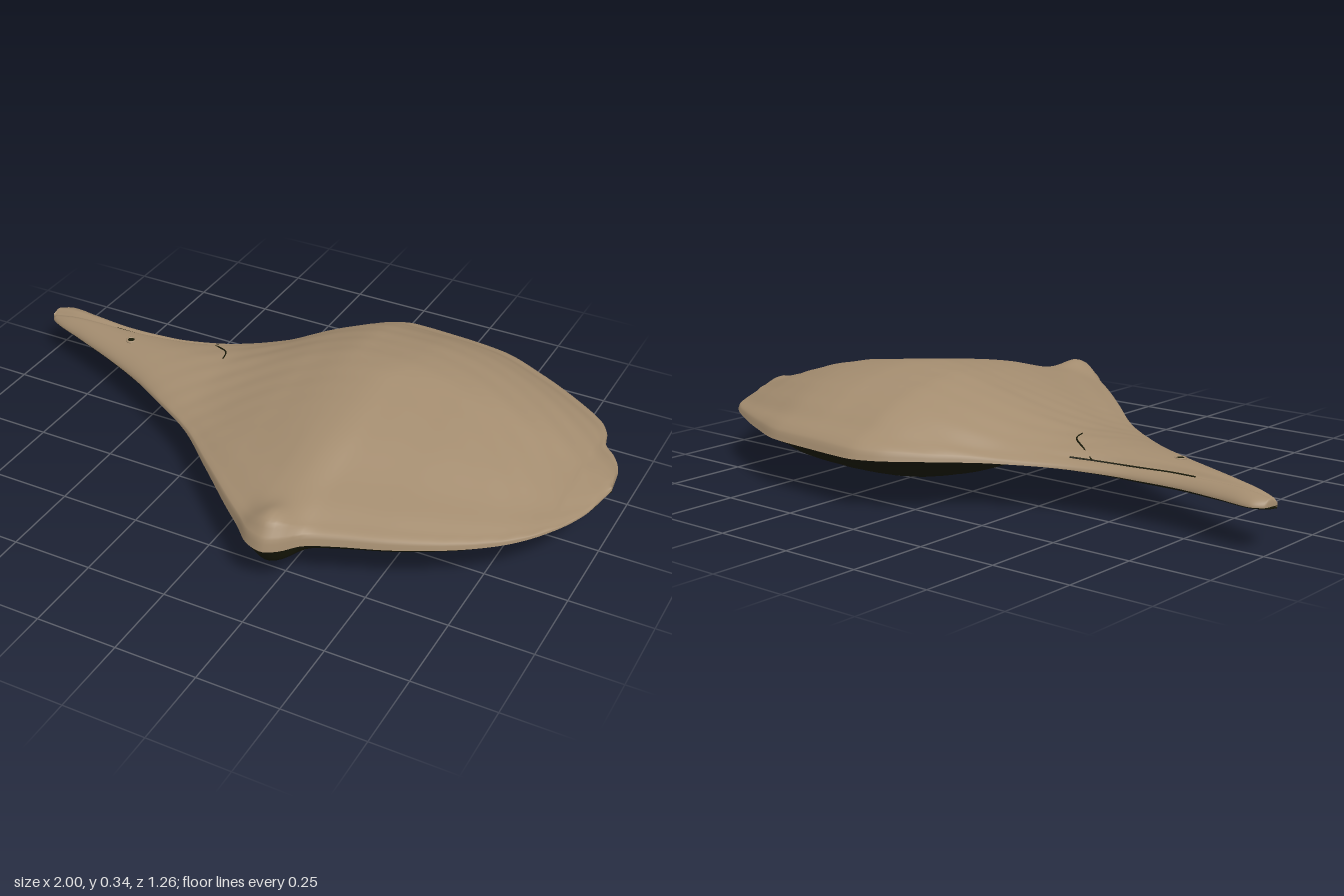
import * as THREE from 'three';

// Smooth interpolation through [x, value] pairs without overshoot
function curve(pts) {
  const n = pts.length;
  const s = [];
  for (let i = 0; i < n - 1; i++) s.push((pts[i + 1][1] - pts[i][1]) / (pts[i + 1][0] - pts[i][0]));
  const m = pts.map((_, i) => {
    if (i === 0) return s[0];
    if (i === n - 1) return s[n - 2];
    return s[i - 1] * s[i] > 0 ? 2 * s[i - 1] * s[i] / (s[i - 1] + s[i]) : 0;
  });
  return (x) => {
    let i = 0;
    while (i < n - 2 && x > pts[i + 1][0]) i++;
    const h = pts[i + 1][0] - pts[i][0];
    const t = THREE.MathUtils.clamp((x - pts[i][0]) / h, 0, 1);
    const t2 = t * t, t3 = t2 * t;
    return pts[i][1] * (2 * t3 - 3 * t2 + 1) + pts[i + 1][1] * (3 * t2 - 2 * t3)
      + h * (m[i] * (t3 - 2 * t2 + t) + m[i + 1] * (t3 - t2));
  };
}

// Outline of the shell seen from above
const backEdge = curve([[-1, -0.19], [-0.99, -0.235], [-0.95, -0.255], [-0.85, -0.24], [-0.7, -0.225],
  [-0.55, -0.235], [-0.4, -0.275], [-0.2, -0.39], [-0.05, -0.53], [0.06, -0.61], [0.14, -0.635],
  [0.3, -0.625], [0.45, -0.61], [0.6, -0.55], [0.75, -0.47], [0.85, -0.4], [0.89, -0.34],
  [0.905, -0.285], [0.95, -0.23], [0.985, -0.16], [1, -0.06]]);
const frontEdge = curve([[-1, -0.19], [-0.98, -0.165], [-0.85, -0.11], [-0.7, -0.05], [-0.55, 0.02],
  [-0.4, 0.11], [-0.25, 0.21], [-0.1, 0.35], [0.05, 0.49], [0.13, 0.56], [0.19, 0.615], [0.24, 0.63],
  [0.28, 0.61], [0.33, 0.555], [0.4, 0.52], [0.55, 0.46], [0.7, 0.38], [0.82, 0.29], [0.91, 0.19],
  [0.97, 0.08], [1, -0.06]]);

// Seam, crown and keel heights along the length
const seam = curve([[-1, 0.128], [-0.6, 0.13], [-0.25, 0.145], [0, 0.157], [0.8, 0.158], [1, 0.175]]);
const crown = curve([[-1, 0.15], [-0.9, 0.165], [-0.6, 0.183], [-0.3, 0.202], [-0.2, 0.225], [0, 0.295],
  [0.15, 0.335], [0.27, 0.343], [0.5, 0.32], [0.7, 0.275], [0.85, 0.225], [0.95, 0.2], [1, 0.19]]);
const keel = curve([[-1, 0.12], [-0.6, 0.11], [-0.25, 0.132], [-0.1, 0.09], [0.05, 0.04], [0.27, 0.003],
  [0.5, 0.025], [0.75, 0.08], [0.9, 0.14], [1, 0.168]]);

// Cross-section bulge from the front edge (0) to the back edge (1)
const upperBulge = curve([[0, 0], [0.008, 0.16], [0.05, 0.25], [0.1, 0.35], [0.18, 0.46], [0.34, 0.74],
  [0.5, 0.92], [0.6, 1], [0.73, 0.9], [0.85, 0.66], [0.93, 0.37], [0.99, 0.16], [1, 0]]);
const lowerBulge = curve([[0, 0], [0.03, 0.2], [0.1, 0.36], [0.22, 0.52], [0.34, 0.8], [0.5, 0.98],
  [0.58, 1], [0.73, 0.87], [0.89, 0.48], [0.94, 0.22], [1, 0]]);
const grooveLine = curve([[-1, -0.19], [-0.7, -0.182], [-0.5, -0.205], [-0.25, -0.29]]);

function surfaceY(x, u, side) {
  const zf = frontEdge(x), z = zf + (backEdge(x) - zf) * u;
  const tail = 1 - THREE.MathUtils.smoothstep(x, -0.6, -0.15);
  const round = Math.sqrt(Math.max(0, Math.sin(Math.PI * u)));
  const bulge = THREE.MathUtils.lerp((side > 0 ? upperBulge : lowerBulge)(u), round, tail);
  const mask = Math.min(1, u / 0.03, (1 - u) / 0.03);
  let y = seam(x) + bulge * ((side > 0 ? crown : keel)(x) - seam(x));
  // Pointed beak
  y += side * (side > 0 ? 0.04 : 0.028) * mask * Math.exp(-((x - 0.24) ** 2 + (z - 0.57) ** 2) / 0.0042);
  // Concentric growth lines around the beak
  const r = Math.hypot(x - 0.24, z - 0.6);
  y += side * 0.0012 * Math.sin(r * 75) * mask * (1 - tail) * THREE.MathUtils.smoothstep(r, 0.3, 0.9);
  // Groove along the spout
  if (side > 0) y -= 0.012 * tail * mask * Math.exp(-(((z - grooveLine(x)) / 0.013) ** 2));
  return y;
}

// One half of the shell as a grid of cross-sections
function valve(side) {
  const nx = 200, nu = 72, pos = [], idx = [];
  for (let i = 0; i <= nx; i++) {
    const x = -Math.cos(Math.PI * i / nx);
    for (let j = 0; j <= nu; j++) {
      const u = (1 - Math.cos(Math.PI * j / nu)) / 2;
      pos.push(x, surfaceY(x, u, side), frontEdge(x) + (backEdge(x) - frontEdge(x)) * u);
      if (i < nx && j < nu) {
        const a = i * (nu + 1) + j, b = a + nu + 1;
        if (side > 0) idx.push(a, b, b + 1, a, b + 1, a + 1);
        else idx.push(a, b + 1, b, a, a + 1, b + 1);
      }
    }
  }
  const g = new THREE.BufferGeometry();
  g.setAttribute('position', new THREE.Float32BufferAttribute(pos, 3));
  g.setIndex(idx);
  g.computeVertexNormals();
  return g;
}

function onTop(x, z) {
  const u = (z - frontEdge(x)) / (backEdge(x) - frontEdge(x));
  return new THREE.Vector3(x, surfaceY(x, u, 1), z);
}

export function createModel() {
  const group = new THREE.Group();
  const tan = new THREE.MeshStandardMaterial({ color: 0xa38c6f });
  tan.name = 'shellTan';
  const dark = new THREE.MeshStandardMaterial({ color: 0x191a09 });
  dark.name = 'darkOlive';
  const add = (name, geometry, material) => {
    const mesh = new THREE.Mesh(geometry, material);
    mesh.name = name;
    group.add(mesh);
    return mesh;
  };

  add('upperValve', valve(1), tan);
  add('lowerValve', valve(-1), dark);

  // Fine cracks on the spout
  const crack = (name, pts, r) => add(name, new THREE.TubeGeometry(
    new THREE.CatmullRomCurve3(pts.map(([x, z]) => onTop(x, z))), 40, r, 6), dark);
  crack('grooveCrack', [-0.74, -0.66, -0.58, -0.5, -0.42, -0.36].map((x) => [x, grooveLine(x)]), 0.003);
  crack('curvedCrack', [[-0.42, -0.225], [-0.37, -0.2], [-0.32, -0.165], [-0.305, -0.12]], 0.0025);

  // Small pit with a raised rim
  const p = onTop(-0.64, -0.11);
  add('pit', new THREE.CylinderGeometry(0.012, 0.012, 0.004, 16), dark).position.copy(p);
  const rim = add('pitRim', new THREE.TorusGeometry(0.014, 0.004, 8, 20), tan);
  rim.rotation.x = Math.PI / 2;
  rim.position.copy(p);

  return group;
}
